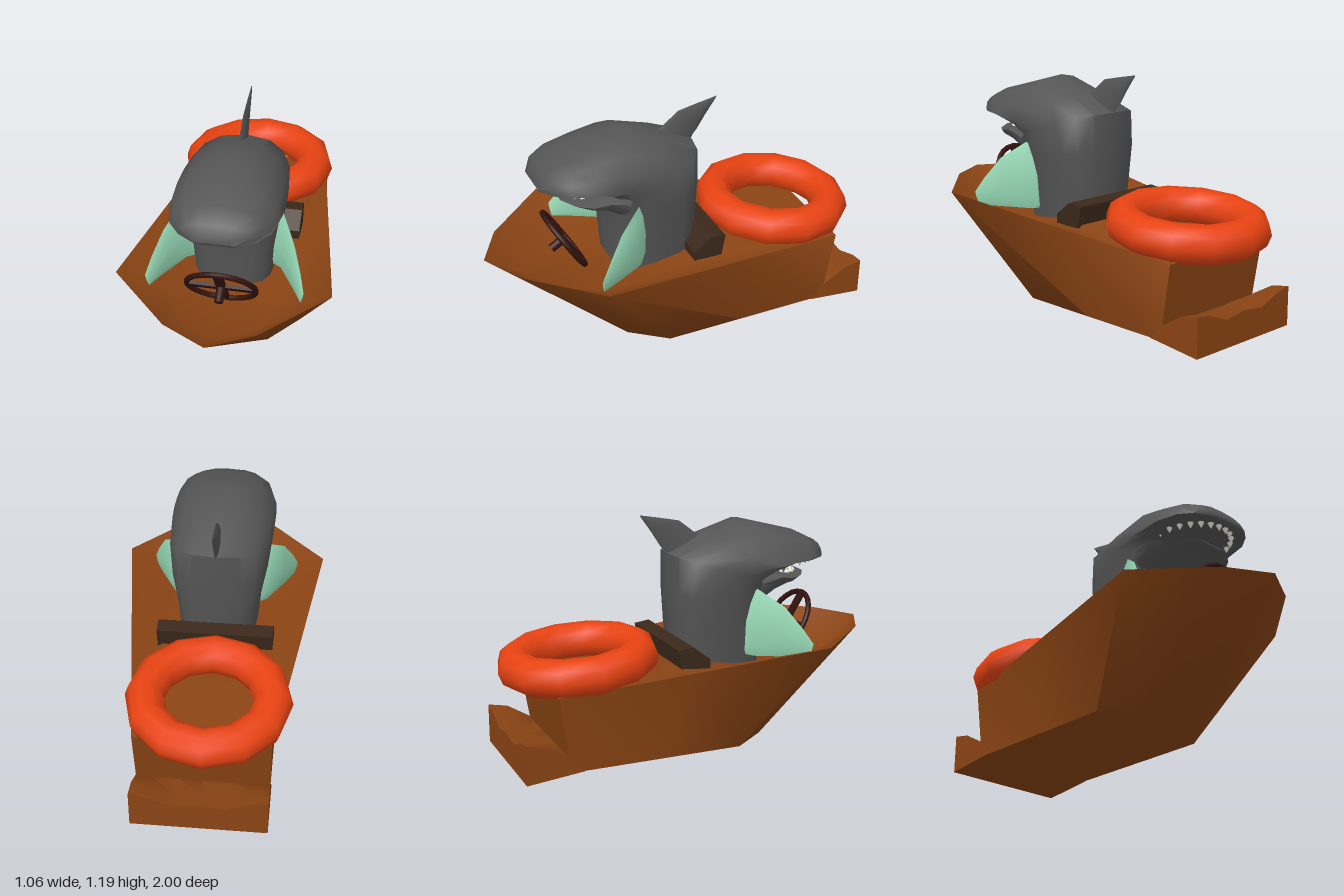
import * as THREE from 'three';
import { toCreasedNormals } from 'three/addons/utils/BufferGeometryUtils.js';

const V = (x, y, z) => new THREE.Vector3(x, y, z);
const paint = (color) => new THREE.MeshStandardMaterial({ color });

function add(parent, name, geometry, material) {
  const mesh = new THREE.Mesh(geometry, material);
  mesh.name = name;
  parent.add(mesh);
  return mesh;
}

// Closed skin over equal-length rings of points, capped at both ends, faces outward
function skin(rings, crease = 1) {
  const n = rings[0].length, pts = rings.flat(), tris = [];
  for (let r = 0; r < rings.length - 1; r++) {
    for (let i = 0; i < n; i++) {
      const a = r * n + i, b = r * n + (i + 1) % n;
      tris.push([a, b, a + n], [b, b + n, a + n]);
    }
  }
  [0, rings.length - 1].forEach((r) => {
    const centre = rings[r].reduce((s, p) => s.add(p), V(0, 0, 0)).divideScalar(n);
    const c = pts.push(centre) - 1;
    for (let i = 0; i < n; i++) {
      const a = r * n + i, b = r * n + (i + 1) % n;
      tris.push(r === 0 ? [c, b, a] : [c, a, b]);
    }
  });
  const volume = tris.reduce((s, [a, b, c]) => s + pts[a].dot(pts[b].clone().cross(pts[c])), 0);
  const index = tris.flatMap(([a, b, c]) => (volume < 0 ? [a, c, b] : [a, b, c]));
  const geometry = new THREE.BufferGeometry().setFromPoints(pts);
  geometry.setIndex(index);
  geometry.computeVertexNormals();
  return toCreasedNormals(geometry, crease);
}

// Rounded ring from point a to point b; f says where along a-b it is widest
function oval(a, b, side, f = 0.5, power = 1, n = 16) {
  return Array.from({ length: n }, (_, i) => {
    const t = (i / n) * Math.PI * 2;
    const c = Math.sign(Math.cos(t)) * Math.abs(Math.cos(t)) ** power;
    const s = Math.sign(Math.sin(t)) * Math.abs(Math.sin(t)) ** power;
    const u = c > 0 ? f * (1 - c) : f - (1 - f) * c;
    return a.clone().lerp(b, u).addScaledVector(side, s);
  });
}

// Mirror the right half of an outline [x, y, z]
function outline(half) {
  const left = half.slice(1).reverse().map(([x, y, z]) => [-x, y, z]);
  return [...half, ...left].map((p) => V(...p));
}

function makeBoat() {
  const boat = new THREE.Group();
  boat.name = 'boat';
  const wood = paint(0x8a4414);
  wood.side = THREE.DoubleSide;

  // Hull: keel, gunwale, then the cockpit floor that rises to the stern deck
  add(boat, 'hull', skin([
    outline([[0, 0.03, 0.36], [0.19, 0.03, 0.33], [0.33, 0.03, 0.15], [0.33, 0.03, -0.25], [0.33, 0.03, -0.74]]),
    outline([[0, 0.555, 1], [0.22, 0.555, 0.88], [0.53, 0.555, 0.55], [0.429, 0.48, -0.15], [0.335, 0.41, -0.8]]),
    outline([[0, 0.42, 0.8], [0.15, 0.41, 0.72], [0.27, 0.39, 0.45], [0.28, 0.45, 0], [0.27, 0.465, -0.17]]),
  ], 1.25), wood);

  // Stern step with raised ends
  const ends = [[-0.335, 0.2], [-0.26, 0.19], [-0.13, 0.14], [0, 0.155], [0.13, 0.14], [0.26, 0.19], [0.335, 0.2]];
  add(boat, 'sternStep', skin(ends.map(([x, h]) => [
    V(x, 0.03, -0.68), V(x, 0.1, -0.74), V(x, h - 0.02, -0.87), V(x, h, -0.97), V(x, 0, -0.97),
  ]), 0.6), wood);

  // Seat back with a sloping front
  const seat = [[0, 0.45], [0, 0.5], [-0.09, 0.57], [-0.17, 0.56], [-0.15, 0.45]];
  add(boat, 'seat', skin([-0.295, 0.295].map((x) => seat.map(([z, y]) => V(x, y, z))), 0.5), paint(0x3a281a));
  return boat;
}

function makeWheel() {
  const wheel = new THREE.Group();
  wheel.name = 'steeringWheel';
  const dark = paint(0x32120e);
  add(wheel, 'wheelRim', new THREE.TorusGeometry(0.168, 0.014, 8, 24), dark);
  add(wheel, 'crossSpoke', new THREE.BoxGeometry(0.33, 0.035, 0.018), dark);
  add(wheel, 'uprightSpoke', new THREE.BoxGeometry(0.045, 0.33, 0.018), dark);
  const column = add(wheel, 'column', new THREE.CylinderGeometry(0.022, 0.022, 0.09, 10), dark);
  column.rotation.x = Math.PI / 2;
  column.position.z = 0.035;
  wheel.position.set(0, 0.57, 0.585);
  wheel.rotation.x = 0.56;
  return wheel;
}

function makeShark() {
  const shark = new THREE.Group();
  shark.name = 'shark';
  const grey = paint(0x555555), mint = paint(0x99dcb8), ivory = paint(0xe6e2d8);

  // Each row: back z, y; front z, y; half width; widest place; roundness
  const body = [
    [-0.07, 0.36, 0.36, 0.36, 0.195, 0.55, 0.65],
    [-0.095, 0.6, 0.375, 0.6, 0.215, 0.55, 0.65],
    [-0.105, 0.8, 0.385, 0.74, 0.245, 0.55, 0.7],
    [-0.11, 0.99, 0.42, 0.83, 0.262, 0.6, 0.8],
    [0.06, 1.07, 0.43, 0.87, 0.268, 0.75, 0.95],
    [0.28, 1.145, 0.45, 0.895, 0.27, 0.88, 1.08],
    [0.45, 1.1, 0.5, 0.92, 0.264, 0.9, 1],
    [0.6, 1.06, 0.61, 0.925, 0.235, 0.88, 0.9],
    [0.69, 1.015, 0.68, 0.928, 0.18, 0.85, 0.8],
    [0.735, 0.95, 0.725, 0.928, 0.1, 0.6, 0.8],
  ];
  const jaw = [
    [0.3, 0.9, 0.34, 0.7, 0.25, 0.3, 1],
    [0.42, 0.885, 0.41, 0.76, 0.25, 0.15, 1],
    [0.5, 0.86, 0.5, 0.8, 0.225, 0.15, 1],
    [0.57, 0.855, 0.57, 0.835, 0.17, 0.3, 1],
    [0.62, 0.857, 0.62, 0.85, 0.09, 0.5, 1],
  ];
  const loft = (rows) => skin(rows.map(([z0, y0, z1, y1, w, f, power]) =>
    oval(V(0, y0, z0), V(0, y1, z1), V(w, 0, 0), f, power)), 1.1);
  add(shark, 'bodyAndHead', loft(body), grey);
  add(shark, 'lowerJaw', loft(jaw), grey);

  const dorsal = [
    [0.12, 1.04, -0.1, 0.95, 0.022],
    [0.05, 1.08, -0.12, 1.0, 0.016],
    [-0.04, 1.15, -0.145, 1.03, 0.013],
    [-0.15, 1.172, -0.19, 1.1, 0.009],
    [-0.25, 1.19, -0.245, 1.178, 0.003],
  ];
  add(shark, 'dorsalFin', skin(dorsal.map(([z0, y0, z1, y1, w]) =>
    oval(V(0, y0, z0), V(0, y1, z1), V(w, 0, 0), 0.5, 1, 8))), grey);

  // Side fins: x, z, top y, half thickness
  const fin = [[0.2, 0.25, 0.78, 0.025], [0.25, 0.28, 0.82, 0.025], [0.32, 0.4, 0.73, 0.018],
    [0.365, 0.48, 0.62, 0.011], [0.39, 0.53, 0.54, 0.004]];
  for (const s of [1, -1]) {
    add(shark, s > 0 ? 'leftFin' : 'rightFin', skin(fin.map(([x, z, y, w]) =>
      oval(V(s * x, y, z), V(s * x * 0.96, 0.47, z - 0.01), V(s * w * 0.87, 0, -w * 0.5), 0.5, 1, 8))), mint);
  }

  // Tooth rows follow the curve of each jaw
  const toothRow = (name, count, rx, rz, z, y, h, flip) => {
    const row = new THREE.Group();
    row.name = name;
    for (let i = 0; i < count; i++) {
      const a = (i / (count - 1) - 0.5) * Math.PI;
      const tooth = add(row, 'tooth', new THREE.ConeGeometry(0.02, h, 6), ivory);
      tooth.position.set(rx * Math.sin(a), y, z + rz * Math.cos(a));
      if (flip) tooth.rotation.x = Math.PI;
    }
    shark.add(row);
  };
  toothRow('upperTeeth', 14, 0.19, 0.24, 0.45, 0.916, 0.036, true);
  toothRow('lowerTeeth', 10, 0.12, 0.11, 0.48, 0.868, 0.03, false);
  return shark;
}

export function createModel() {
  const model = new THREE.Group();
  model.add(makeBoat(), makeWheel(), makeShark());

  // Lifebuoy resting on the stern
  const buoy = add(model, 'lifebuoy', new THREE.TorusGeometry(0.312, 0.096, 10, 12), paint(0xe84312));
  buoy.rotation.x = Math.PI / 2 - 0.085;
  buoy.position.set(-0.015, 0.5, -0.597);
  return model;
}
